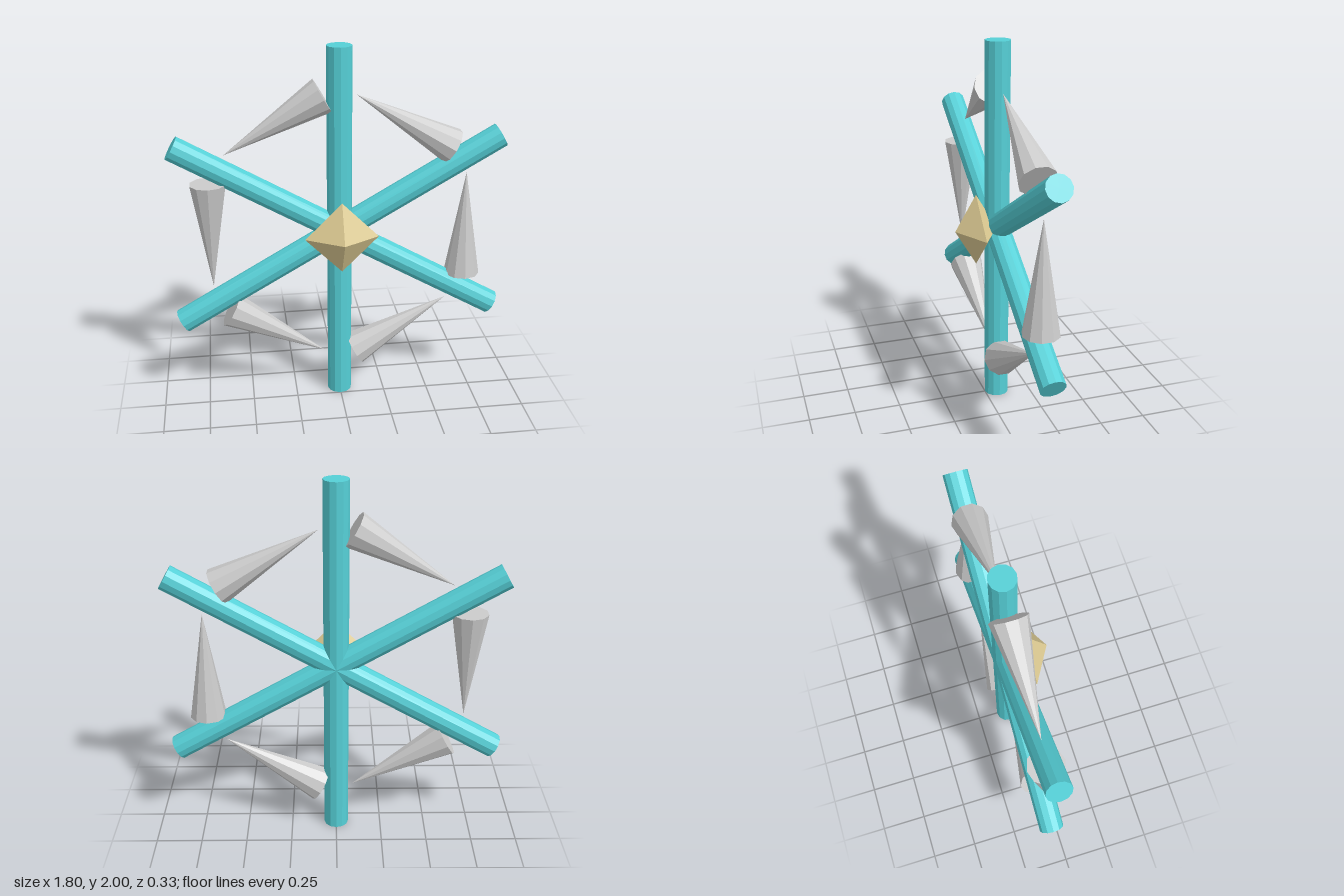
import * as THREE from 'three';

export function createModel() {
  const model = new THREE.Group();
  model.name = 'snowflakeWheel';
  const mat = (color) => new THREE.MeshStandardMaterial({ color, flatShading: true });
  const teal = mat(0x55cfd6), grey = mat(0xcccccc), tan = mat(0xdcca92);

  const add = (name, geometry, material, x, y, z, turn = 0) => {
    const mesh = new THREE.Mesh(geometry, material);
    mesh.name = name;
    mesh.position.set(x, y, z);
    mesh.rotation.z = turn;
    model.add(mesh);
    return mesh;
  };

  const depth = -0.067; // shared plane of bars and cones

  // Three full-length bars crossing at the hub
  const barGeo = new THREE.CylinderGeometry(0.067, 0.067, 2, 12);
  for (let i = 0; i < 3; i++) add(`bar${i + 1}`, barGeo, teal, 0, 1, depth, (i * Math.PI) / 3);

  // Six cones between the bars, all pointing counter-clockwise
  const coneGeo = new THREE.ConeGeometry(0.0975, 0.594, 10);
  for (let i = 0; i < 6; i++) {
    const a = (i * Math.PI) / 3;
    add(`cone${i + 1}`, coneGeo, grey, 0.69 * Math.cos(a), 1 + 0.69 * Math.sin(a), depth, a);
  }

  // Flattened octahedral gem on the front of the hub
  add('hubGem', new THREE.OctahedronGeometry(0.197), tan, 0, 1, 0.05).scale.z = 0.585;

  return model;
}
